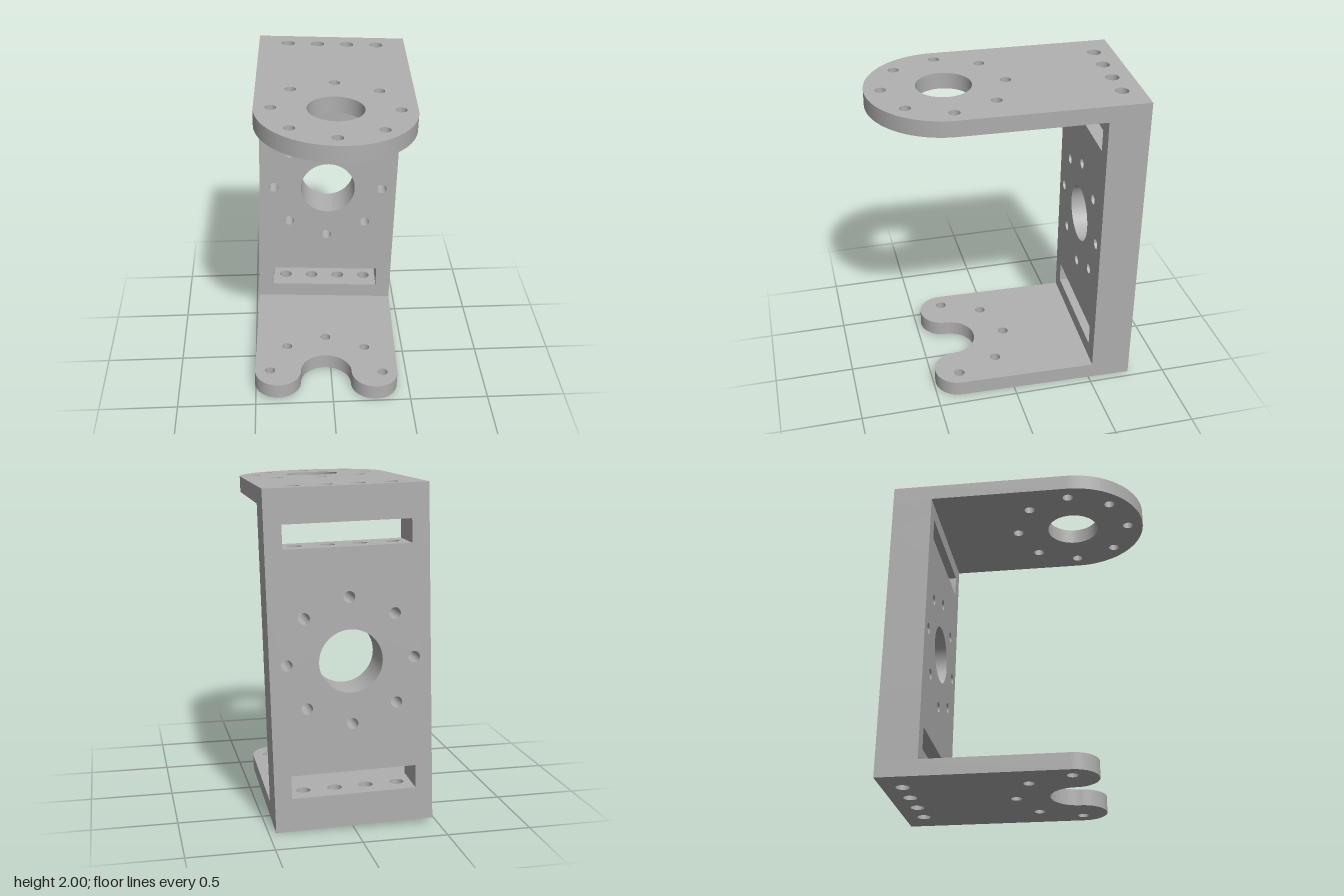
import * as THREE from 'three';
import { toCreasedNormals } from 'three/addons/utils/BufferGeometryUtils.js';

const W = 0.465;               // half width
const H = 0.985;               // half height
const T = 0.1;                 // flange thickness
const BACK = -0.785, FRONT = -0.535; // wall faces in z
const C = 0.33;                // centre of the flange bolt circle in z
const MID = (BACK + FRONT) / 2;
const SLOT = { half: 0.365, low: 0.65, high: 0.787 };
const POCKET = 0.45;           // inner end of the screw holes

const steel = new THREE.MeshStandardMaterial({ color: 0xb0b0b0 });
steel.name = 'grey metal';

function hole(shape, x, y, r) {
  const path = new THREE.Path();
  path.absarc(x, y, r, 0, Math.PI * 2, true);
  shape.holes.push(path);
}

// Bolt holes on a circle, every 45 degrees
function boltCircle(shape, y, first, count) {
  for (let i = 0; i < count; i++) {
    const a = first + i * Math.PI / 4;
    hole(shape, 0.367 * Math.cos(a), y + 0.367 * Math.sin(a), 0.033);
  }
}

// Row of four screw holes through the wall thickness
function screwRow(shape) {
  for (let i = 0; i < 4; i++) hole(shape, (i - 1.5) * 0.187, MID, 0.042);
}

function rectangle(y0, y1) {
  return new THREE.Shape([
    new THREE.Vector2(-W, y0), new THREE.Vector2(W, y0),
    new THREE.Vector2(W, y1), new THREE.Vector2(-W, y1),
  ]);
}

function extrude(shape, depth) {
  return new THREE.ExtrudeGeometry(shape, { depth, bevelEnabled: false, curveSegments: 32 });
}

function addMesh(parent, name, geometry) {
  const mesh = new THREE.Mesh(toCreasedNormals(geometry, 0.5), steel);
  mesh.name = name;
  parent.add(mesh);
}

// Slab drawn in x and z, filling the height from low to high
function slab(parent, name, shape, low, high) {
  const g = extrude(shape, high - low);
  g.rotateX(Math.PI / 2);
  g.translate(0, high, 0);
  addMesh(parent, name, g);
}

export function createModel() {
  const model = new THREE.Group();
  model.name = 'bracket';
  const body = new THREE.Group();
  body.name = 'bracketBody';
  body.position.y = 1;
  body.rotation.set(0, -0.03, -0.031); // slight skew of the whole part
  model.add(body);

  // Upper flange with a rounded end and a central opening
  const upper = new THREE.Shape();
  upper.moveTo(-W, BACK);
  upper.lineTo(W, BACK);
  upper.lineTo(W, C);
  upper.absarc(0, C, W, 0, Math.PI, false);
  upper.closePath();
  hole(upper, 0, C, 0.165);
  boltCircle(upper, C, 0, 8);
  screwRow(upper);
  slab(body, 'upperFlange', upper, H - T, H);

  // Lower flange with two rounded ears around an open cutout
  const lower = new THREE.Shape();
  lower.moveTo(-W, BACK);
  lower.lineTo(W, BACK);
  lower.lineTo(W, C);
  lower.absarc(0.315, C, 0.15, 0, Math.PI, false);
  lower.absarc(0, C, 0.165, 0, Math.PI, true);
  lower.absarc(-0.315, C, 0.15, 0, Math.PI, false);
  lower.closePath();
  boltCircle(lower, C, Math.PI, 5);
  screwRow(lower);
  slab(body, 'lowerFlange', lower, -H, -H + T);

  // Middle of the wall with the main bore and bolt circle
  const wall = rectangle(-POCKET, POCKET);
  hole(wall, 0, 0, 0.183);
  boltCircle(wall, 0, 0, 8);
  const wallGeometry = extrude(wall, FRONT - BACK);
  wallGeometry.translate(0, 0, BACK);
  addMesh(body, 'wallCentre', wallGeometry);

  // Drilled wall sections and slot ends, mirrored above and below
  for (const s of [1, -1]) {
    const end = s > 0 ? 'upper' : 'lower';
    const sections = [['OuterWall', SLOT.high, H - T], ['InnerWall', POCKET, SLOT.low]];
    for (const [name, a, b] of sections) {
      const shape = rectangle(BACK, FRONT);
      screwRow(shape);
      slab(body, end + name, shape, Math.min(s * a, s * b), Math.max(s * a, s * b));
    }
    for (const side of [1, -1]) {
      const post = new THREE.BoxGeometry(W - SLOT.half, SLOT.high - SLOT.low, FRONT - BACK);
      post.translate(side * (W + SLOT.half) / 2, s * (SLOT.high + SLOT.low) / 2, MID);
      addMesh(body, end + (side > 0 ? 'Left' : 'Right') + 'SlotEnd', post);
    }
  }
  return model;
}
